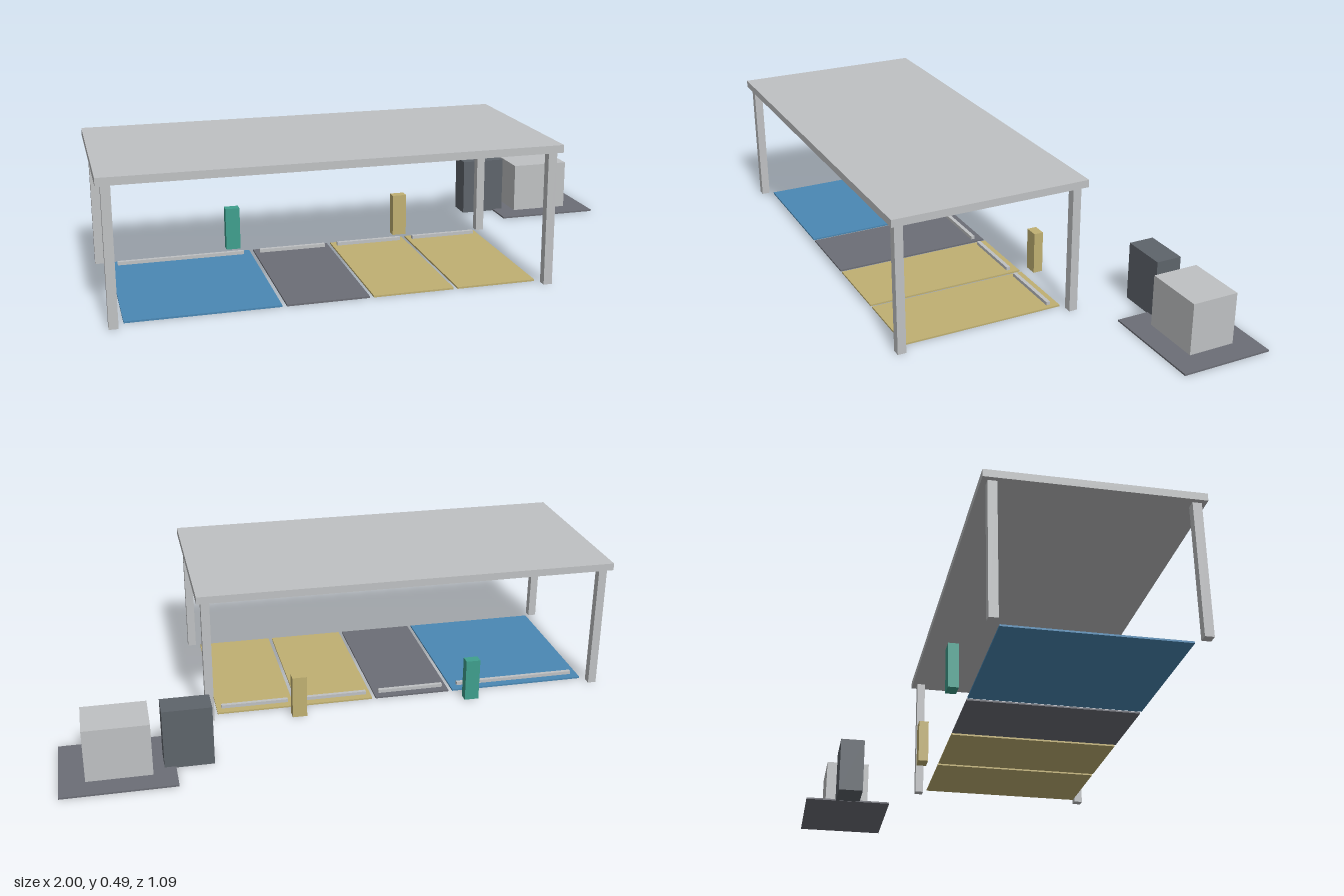
import * as THREE from 'three';

const paint = (name, color) => {
  const m = new THREE.MeshStandardMaterial({ color });
  m.name = name;
  return m;
};

export function createModel() {
  const model = new THREE.Group();
  model.name = 'chargingCanopy';

  const lightGrey = paint('light grey', 0xbfc1c3);
  const asphalt = paint('asphalt grey', 0x6c6e76);
  const slate = paint('slate grey', 0x5e646b);
  const blue = paint('bay blue', 0x4a88b4);
  const sand = paint('bay sand', 0xc0b072);
  const teal = paint('charger teal', 0x3f9f8d);

  // Box given by its limits on each axis
  const block = (name, material, [x0, x1], [y0, y1], [z0, z1]) => {
    const mesh = new THREE.Mesh(new THREE.BoxGeometry(x1 - x0, y1 - y0, z1 - z0), material);
    mesh.position.set((x0 + x1) / 2, (y0 + y1) / 2, (z0 + z1) / 2);
    mesh.name = name;
    model.add(mesh);
  };

  // Canopy roof on four posts
  block('roof', lightGrey, [-1, 0.502], [0.459, 0.485], [-0.154, 0.545]);
  for (const x of [-0.969, 0.471]) {
    for (const z of [-0.121, 0.515]) {
      block('post', lightGrey, [x - 0.015, x + 0.015], [0, 0.459], [z - 0.015, z + 0.015]);
    }
  }

  // Parking bays, each with a wheel stop near the back
  const bays = [
    [-0.936, -0.434, blue],
    [-0.419, -0.142, asphalt],
    [-0.128, 0.149, sand],
    [0.163, 0.44, sand],
  ];
  for (const [x0, x1, material] of bays) {
    const inset = (x1 - x0) * 0.04 + 0.006;
    block('bay', material, [x0, x1], [0, 0.006], [-0.094, 0.488]);
    block('wheelStop', lightGrey, [x0 + inset, x1 - inset], [0.006, 0.018], [-0.065, -0.051]);
  }

  // Charging pillars behind the bays
  for (const [x, material] of [[-0.484, teal], [0.155, sand]]) {
    block('charger', material, [x - 0.026, x + 0.026], [0, 0.155], [-0.171, -0.136]);
  }

  // Transformer on its pad, with a switch cabinet beside it
  block('pad', asphalt, [0.618, 1], [0, 0.006], [-0.545, -0.218]);
  block('transformer', lightGrey, [0.695, 0.914], [0.003, 0.191], [-0.466, -0.298]);
  block('cabinet', slate, [0.49, 0.656], [0.001, 0.212], [-0.429, -0.336]);

  return model;
}
